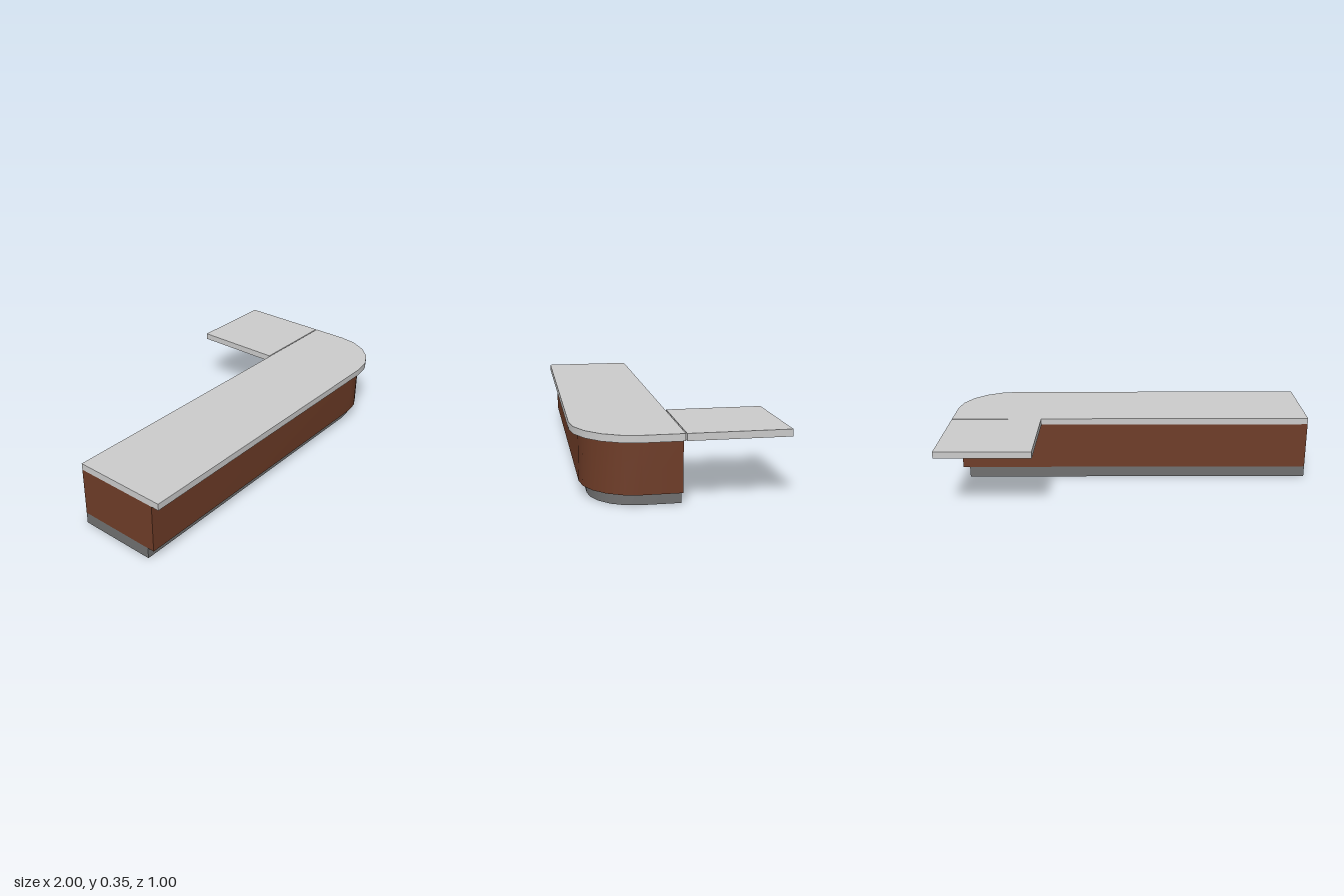
import * as THREE from 'three';
import { toCreasedNormals } from 'three/addons/utils/BufferGeometryUtils.js';

const PLINTH_TOP = 0.06, SLAB_BOTTOM = 0.317, TOP = 0.352;
const SLAB_INSET = 0, BODY_INSET = 0.043, PLINTH_INSET = 0.08;
const RADIUS = 0.31, ARC_STEPS = 5;

// Counter plan as [x, z]: flush at the back and right end, inset elsewhere,
// with one rounded front corner
function outline(inset) {
  const points = [[-1, 0.5 - inset]];
  const r = RADIUS - inset;
  for (let i = 0; i <= ARC_STEPS; i++) {
    const a = (i / ARC_STEPS) * Math.PI / 2;
    points.push([1 - RADIUS + r * Math.sin(a), 0.5 - RADIUS + r * Math.cos(a)]);
  }
  points.push([1 - inset, 0], [-1, 0]);
  return points;
}

// Strip joining a lower and an upper outline; closed strips run round the back
function strip(insetA, yA, insetB, yB) {
  const a = outline(insetA), b = outline(insetB), n = a.length;
  const closed = insetA === insetB;
  const positions = [];
  const add = ([x, z], y) => positions.push(x, y, z);
  for (let i = 0; i < (closed ? n : n - 2); i++) {
    const j = (i + 1) % n;
    add(a[i], yA); add(a[j], yA); add(b[j], yB);
    add(a[i], yA); add(b[j], yB); add(b[i], yB);
  }
  const geometry = new THREE.BufferGeometry();
  geometry.setAttribute('position', new THREE.Float32BufferAttribute(positions, 3));
  return toCreasedNormals(geometry, 0.6);
}

export function createModel() {
  const model = new THREE.Group();
  model.name = 'barCounter';

  const material = (color) => new THREE.MeshStandardMaterial({ color, side: THREE.DoubleSide });
  const grey = material(0xcccccc);
  const darkGrey = material(0x707070);
  const wood = material(0x6e3c27);

  const add = (name, geometry, mat) => {
    const mesh = new THREE.Mesh(geometry, mat);
    mesh.name = name;
    model.add(mesh);
    return mesh;
  };

  // Recessed plinth and the ledge above it
  add('plinth', strip(PLINTH_INSET, 0, PLINTH_INSET, PLINTH_TOP), darkGrey);
  add('plinthLedge', strip(PLINTH_INSET, PLINTH_TOP, BODY_INSET, PLINTH_TOP), darkGrey);

  // Wooden body shell, open underneath
  add('bodyPanels', strip(BODY_INSET, PLINTH_TOP, BODY_INSET, SLAB_BOTTOM), wood);

  // Worktop: overhang, rim and top surface
  add('worktopOverhang', strip(BODY_INSET, SLAB_BOTTOM, SLAB_INSET, SLAB_BOTTOM), grey);
  add('worktopRim', strip(SLAB_INSET, SLAB_BOTTOM, SLAB_INSET, TOP), grey);
  const plan = new THREE.Shape(outline(SLAB_INSET).map(([x, z]) => new THREE.Vector2(x, -z)));
  const surface = new THREE.ShapeGeometry(plan).rotateX(-Math.PI / 2).translate(0, TOP, 0);
  add('worktopSurface', surface, grey);

  // Flap behind the rounded end, with a narrow hinge gap
  const gap = 0.006;
  const flap = add('flap', new THREE.BoxGeometry(0.5, TOP - SLAB_BOTTOM, 0.5 - gap), grey);
  flap.position.set(0.75, (TOP + SLAB_BOTTOM) / 2, -(0.5 + gap) / 2);

  return model;
}
